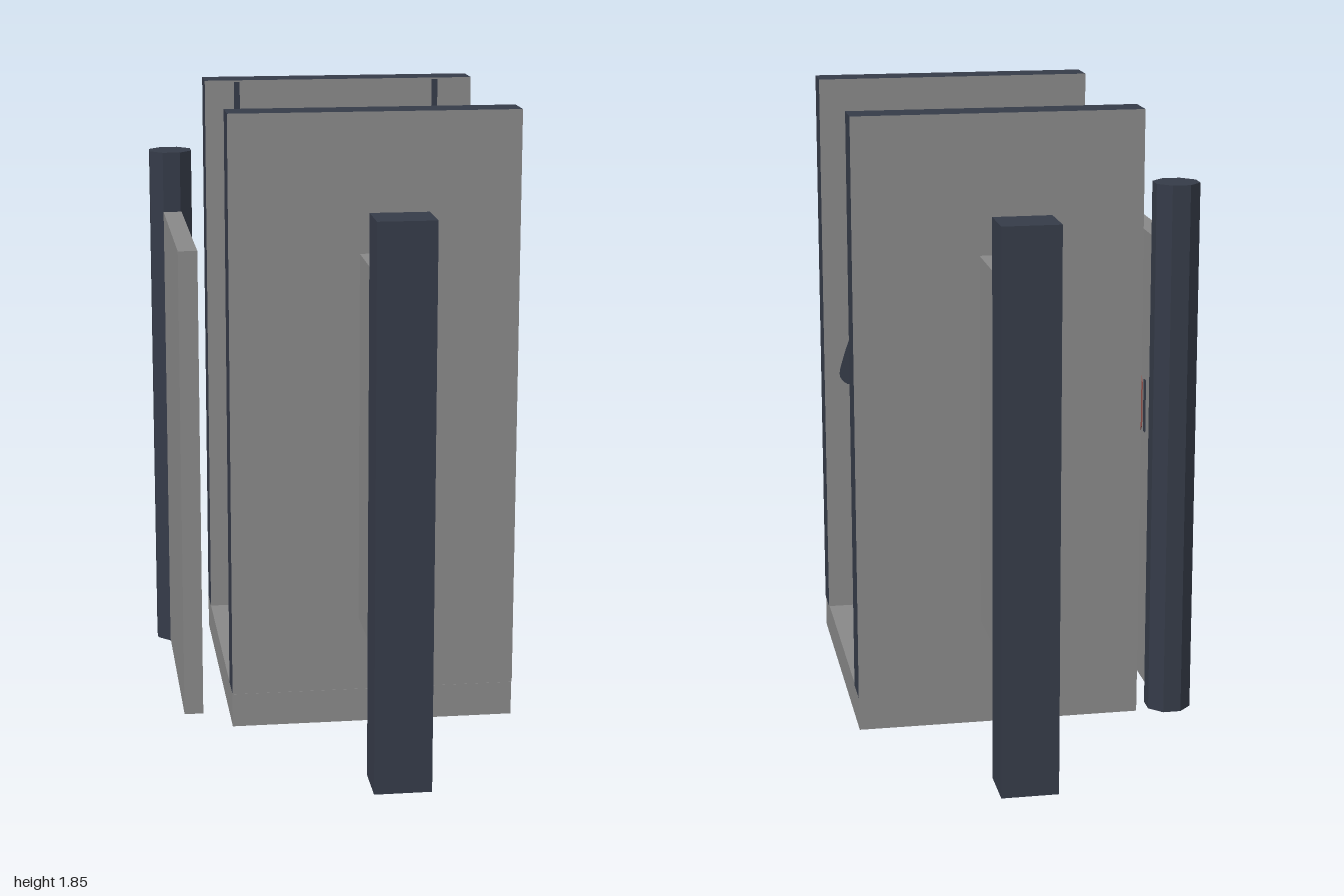
import * as THREE from 'three';

const paint = (name, color) => {
  const m = new THREE.MeshStandardMaterial({ color, side: THREE.DoubleSide });
  m.name = name;
  return m;
};

export function createModel() {
  const grey = paint('panel grey', 0x888888);
  const navy = paint('dark navy', 0x353b48);
  const red = paint('warning red', 0x8f4f49);
  const group = new THREE.Group();

  const add = (name, geometry, material, x = 0, y = 0, z = 0) => {
    const mesh = new THREE.Mesh(geometry, material);
    mesh.name = name;
    mesh.position.set(x, y, z);
    group.add(mesh);
    return mesh;
  };
  // Box given by its limits on each axis, optionally without a bottom
  const box = (name, material, [x0, x1], [y0, y1], [z0, z1], open = false) => {
    const g = new THREE.BoxGeometry(x1 - x0, y1 - y0, z1 - z0);
    if (open) {
      const index = Array.from(g.index.array);
      index.splice(18, 6);
      g.setIndex(index);
      g.clearGroups();
    }
    return add(name, g, material, (x0 + x1) / 2, (y0 + y1) / 2, (z0 + z1) / 2);
  };
  // Thin painted plate, centred on the surface it decorates
  const plate = (name, shape, material) => {
    const g = new THREE.ExtrudeGeometry(shape, { depth: 0.006, bevelEnabled: false, curveSegments: 16 });
    g.translate(0, 0, -0.003);
    return add(name, g, material);
  };
  const smoothPoints = (points) => new THREE.CatmullRomCurve3(
    points.map(([x, y]) => new THREE.Vector3(x, y, 0)), true, 'centripetal'
  ).getPoints(points.length * 4).slice(0, -1).map((p) => new THREE.Vector2(p.x, p.y));
  const ellipse = (x, y, rx, ry) => new THREE.Shape().absellipse(x, y, rx, ry, 0, Math.PI * 2);
  const rect = (x, y, w, h) => new THREE.Shape([
    [-1, -1], [1, -1], [1, 1], [-1, 1],
  ].map(([a, b]) => new THREE.Vector2(x + a * w / 2, y + b * h / 2)));

  // Hollow floor tray
  box('floor', grey, [-0.34, 0.508], [0.008, 0.11], [-0.46, 0.463], true);

  // Side walls, posts and the panels joining them
  const wallMaterials = [navy, navy, navy, navy, grey, grey];
  for (const [side, s] of [['front', 1], ['back', -1]]) {
    const span = (a, b) => (s > 0 ? [a, b] : [-b, -a]);
    box(side + 'Wall', wallMaterials, [-0.34, 0.51], [0.11, 1.85], span(0.355, 0.462));
    box(side + 'Post', navy, [0.01, 0.175], [0, 1.627], span(0.86, 1), true);
    box(side + 'Panel', grey, [0.04, 0.142], [0.335, 1.44], span(0.46, 0.865));
  }

  // Door and its octagonal pole
  const pole = new THREE.CylinderGeometry(0.0706, 0.0706, 1.627, 8, 1, true).toNonIndexed();
  pole.rotateY(Math.PI / 8);
  pole.computeVertexNormals();
  add('doorPole', pole, navy, -0.45, 0.8135, -0.403);
  const cap = new THREE.CircleGeometry(0.0706, 8);
  cap.rotateX(-Math.PI / 2);
  cap.rotateY(Math.PI / 8);
  add('doorPoleCap', cap, navy, -0.45, 1.627, -0.403);
  box('door', grey, [-0.477, -0.42], [0.008, 1.438], [-0.35, 0.347]);

  // Standing figure on the inside of the front wall
  const half = [
    [0.035, 1.42], [0.04, 1.36], [0.1, 1.32], [0.21, 1.25], [0.31, 1.09], [0.365, 0.95],
    [0.375, 0.89], [0.345, 0.865], [0.32, 0.92], [0.27, 1.08], [0.2, 1.17], [0.12, 1.2],
    [0.09, 1.015], [0.12, 0.865], [0.165, 0.61], [0.215, 0.42], [0.27, 0.35],
    [0.165, 0.365], [0.135, 0.475], [0.07, 0.7],
  ];
  const outline = [...half, [0, 0.88], ...half.map(([x, y]) => [-x, y]).reverse()];
  for (const [name, shape] of [
    ['figureBody', new THREE.Shape(smoothPoints(outline))],
    ['figureHead', ellipse(0, 1.52, 0.1, 0.125)],
  ]) plate(name, shape, navy).position.set(0.085, 0, 0.355);

  // Guide lines on the inside of the back wall
  for (const s of [-1, 1]) {
    const marks = [
      rect(s * 0.316, 1.8, 0.018, 0.09),
      rect(s * 0.316, 0.95, 0.024, 1.34),
      ellipse(s * 0.316, 1.64, 0.027, 0.032),
      ellipse(s * 0.316, 0.3, 0.025, 0.025),
      ellipse(s * 0.316, 0.155, 0.034, 0.024),
      rect(s * 0.17, 0.18, 0.04, 0.012),
    ];
    marks.forEach((shape, i) => {
      plate('guideMark', shape, navy).position.set(0.077, 0, -0.355 + i * 0.0002);
    });
  }

  // Footprints on the floor, toes to the front
  const sole = [
    [-0.038, 0.09], [0, 0.108], [0.038, 0.09], [0.04, 0.045], [0.048, 0.01],
    [0.056, -0.04], [0.035, -0.09], [0, -0.1], [-0.04, -0.08], [-0.058, -0.03], [-0.048, 0.015], [-0.04, 0.045],
  ];
  for (const [x, z] of [[-0.054, -0.005], [0.235, -0.012]]) {
    const foot = plate('footprint', new THREE.Shape(smoothPoints(sole)), navy);
    foot.rotation.x = -Math.PI / 2;
    foot.position.set(x, 0.11, z);
  }

  // Octagonal warning sign on the inside of the door, with a cut-out mark
  const sign = new THREE.Shape(Array.from({ length: 8 }, (_, i) => {
    const a = (i + 0.5) * Math.PI / 4;
    return new THREE.Vector2(Math.cos(a) * 0.183, Math.sin(a) * 0.183);
  }));
  sign.holes.push(new THREE.Path(smoothPoints([
    [-0.032, 0.11], [-0.02, 0.132], [0.02, 0.132], [0.032, 0.11], [0.032, 0.045],
    [0.012, 0.02], [0.011, -0.045], [-0.011, -0.045], [-0.012, 0.02], [-0.032, 0.045],
  ])));
  sign.holes.push(new THREE.Path().absellipse(0, -0.12, 0.025, 0.025, 0, Math.PI * 2));
  const signMarks = [
    ['warningSign', sign, red],
    ['signMark', rect(-0.197, 0.01, 0.005, 0.15), navy],
    ['signMark', rect(0.2, 0.003, 0.02, 0.165), navy],
    ['signMark', rect(-0.015, -0.2, 0.06, 0.006), navy],
  ];
  for (const [name, shape, material] of signMarks) {
    const mesh = plate(name, shape, material);
    mesh.rotation.y = Math.PI / 2;
    mesh.position.set(-0.42, 0.892, 0.017);
  }
  return group;
}
